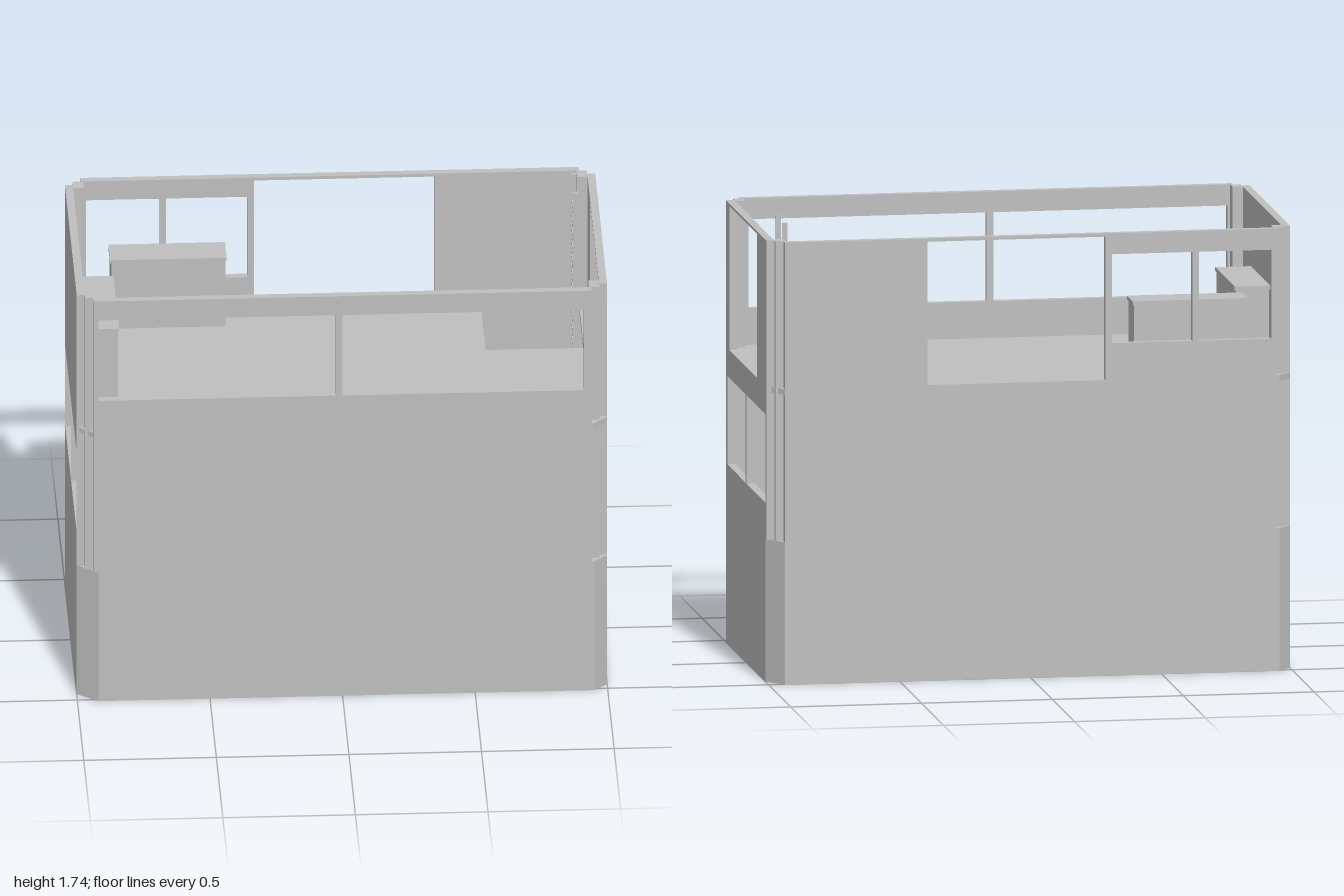
import * as THREE from 'three';

export function createModel() {
  const model = new THREE.Group();
  model.name = 'openTopBuilding';
  const grey = new THREE.MeshStandardMaterial({ color: 0xbfbfbf });
  grey.name = 'plain grey';

  const BASE = 0.545, FLOOR = 1.13, TOP = 1.69, W = 0.513, T = 0.03;

  function add(name, geometry, parent = model) {
    const mesh = new THREE.Mesh(geometry, grey);
    mesh.name = name;
    parent.add(mesh);
    return mesh;
  }
  // Box given by its minimum and maximum corners
  function box(name, x0, x1, y0, y1, z0, z1, parent) {
    const g = new THREE.BoxGeometry(x1 - x0, y1 - y0, z1 - z0);
    g.translate((x0 + x1) / 2, (y0 + y1) / 2, (z0 + z1) / 2);
    return add(name, g, parent);
  }
  const rect = (a, b, c, d) => [[a, c], [b, c], [b, d], [a, d]].map(p => new THREE.Vector2(...p));
  function plate(outline, holes, depth) {
    const shape = new THREE.Shape(outline);
    holes.forEach(h => shape.holes.push(new THREE.Path(rect(...h))));
    return new THREE.ExtrudeGeometry(shape, { depth, bevelEnabled: false });
  }

  // Chamfered footprint, drawn as (x, -z)
  const footprint = [
    [-0.92, -W], [0.95, -W], [1, -0.465], [1, 0.43], [0.94, W],
    [-0.95, W], [-1, 0.46], [-1, -0.45],
  ].map(p => new THREE.Vector2(...p));
  function slab(name, holes, y, height) {
    add(name, plate(footprint, holes, height).rotateX(-Math.PI / 2).translate(0, y, 0));
  }
  slab('base', [], 0, BASE);
  slab('upperFloor', [[0.57, 0.94, 0.11, 0.46]], FLOOR - 0.022, 0.022);

  // Long walls: window bands split by mullions, and the rear opening
  const long = rect(-0.94, 0.94, BASE, TOP);
  add('frontWall', plate(long, [
    [-0.92, -0.025, 1.27, 1.61], [0, 0.91, 1.27, 1.61],
  ], T).translate(0, 0, W - T));
  add('backWall', plate(long, [
    [-0.92, -0.643, 1.27, 1.61], [-0.617, -0.31, 1.27, 1.61],
    [-0.285, 0.395, FLOOR, 1.678],
  ], T).translate(0, 0, -W));

  // End walls, drawn as (-z, y)
  const short = rect(-0.457, 0.457, BASE, TOP);
  const lowWindows = [[-0.43, -0.024, 0.685, 1.022], [0, 0.43, 0.685, 1.022]];
  add('leftWall', plate(short, [...lowWindows, [-0.385, 0.24, FLOOR, 1.68]], T)
    .rotateY(Math.PI / 2).translate(1 - T, 0, 0));
  add('rightWall', plate(short, lowWindows, T)
    .rotateY(Math.PI / 2).translate(-1, 0, 0));

  // Stepped corner posts
  for (const sx of [-1, 1]) for (const sz of [-1, 1]) {
    const post = add('cornerPost', new THREE.BoxGeometry(0.04, TOP - BASE, 0.053));
    post.position.set(sx * 0.95, (TOP + BASE) / 2, sz * 0.4565);
  }

  // Counters with a slightly overhanging lid
  function counter(name, x0, x1, y, z0, z1) {
    const group = new THREE.Group();
    group.name = name;
    model.add(group);
    const e = 0.005;
    box('counterBody', x0 + e, x1 - e, y, y + 0.278, z0 + e, z1 - e, group);
    box('counterLid', x0, x1, y + 0.278, y + 0.292, z0, z1, group);
  }
  counter('upperBackCounter', -0.835, -0.395, FLOOR, -0.48, -0.35);
  counter('upperSideCounter', -0.965, -0.828, FLOOR, -0.222, 0.218);
  counter('lowerFrontCounter', -0.835, -0.395, BASE, 0.35, 0.48);

  // Ladder through the floor hatch
  const ladder = new THREE.Group();
  ladder.name = 'ladder';
  model.add(ladder);
  for (const z of [-0.204, -0.36]) box('ladderRail', 0.904, 0.922, BASE, 1.74, z - 0.007, z + 0.007, ladder);
  for (let i = 0; i < 19; i++) {
    const y = 0.585 + i * 0.0575;
    box('ladderRung', 0.906, 0.92, y, y + 0.013, -0.36, -0.204, ladder);
  }

  return model;
}
